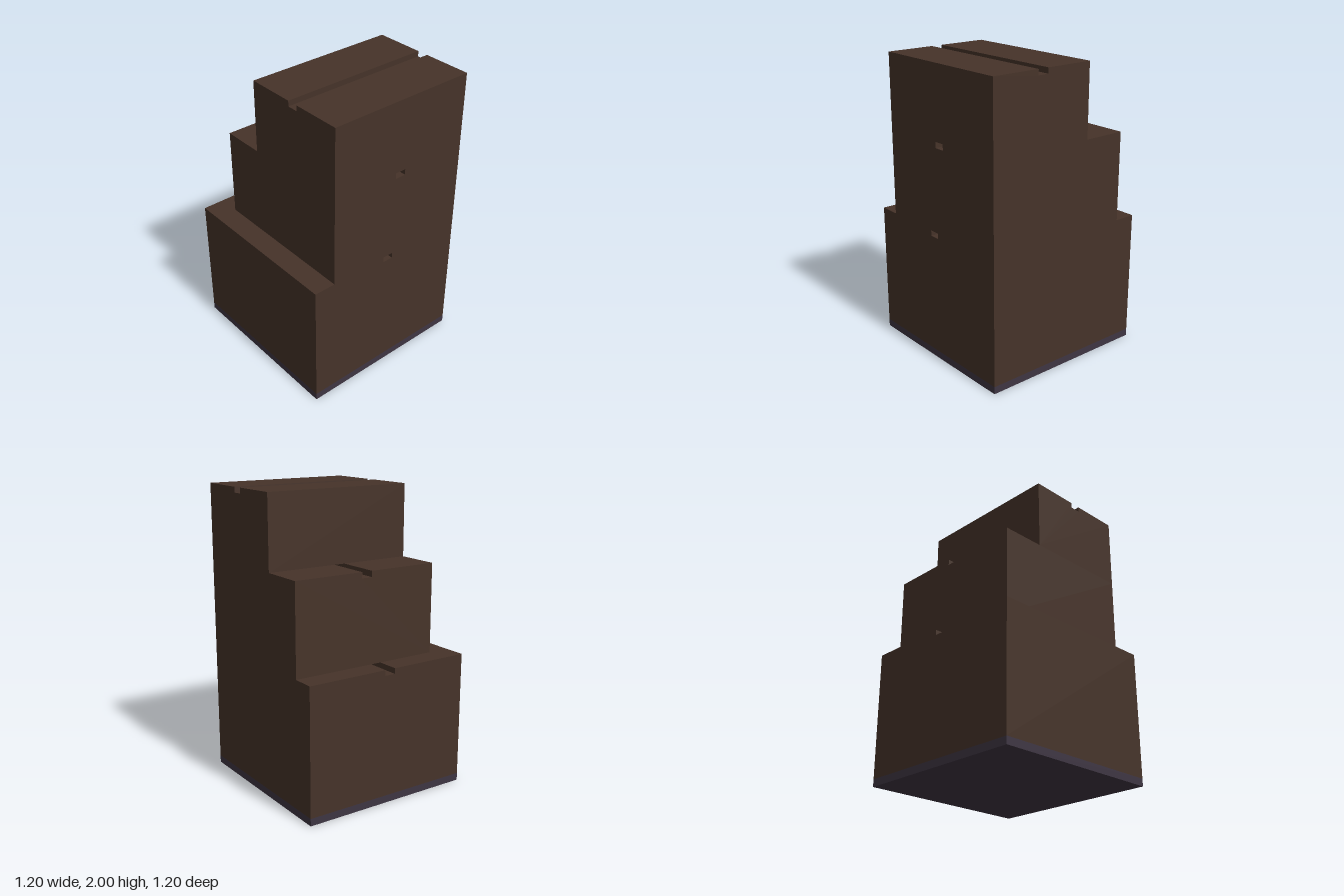
import * as THREE from 'three';

const brown = new THREE.MeshStandardMaterial({ color: 0x463329 });
const violet = new THREE.MeshStandardMaterial({ color: 0x3e3542 });

// Block outline with a rectangular groove cut into its top edge
function groovedProfile(u0, u1, y0, y1, g0, g1, depth) {
  return new THREE.Shape([
    [u0, y0], [u1, y0], [u1, y1], [g1, y1], [g1, y1 - depth],
    [g0, y1 - depth], [g0, y1], [u0, y1],
  ].map(([u, y]) => new THREE.Vector2(u, y)));
}

function extrude(shape, depth) {
  return new THREE.ExtrudeGeometry(shape, { depth, bevelEnabled: false });
}

// Block spanning x0..x1 whose groove runs along x (profile drawn in -z, y)
function blockAlongX(x0, x1, z0, z1, y0, y1, gz0, gz1, depth) {
  const geo = extrude(groovedProfile(-z1, -z0, y0, y1, -gz1, -gz0, depth), x1 - x0);
  return geo.rotateY(Math.PI / 2).translate(x0, 0, 0);
}

export function createModel() {
  const model = new THREE.Group();
  const add = (name, geo, material) => {
    const mesh = new THREE.Mesh(geo, material);
    mesh.name = name;
    model.add(mesh);
  };

  // Thin coloured foot
  add('base', new THREE.BoxGeometry(1.2, 0.05, 1.2).translate(0, 0.025, 0), violet);

  // Lower and middle steps: their grooves become tunnels under the block above
  add('lowerStep', blockAlongX(-0.6, 0.6, -0.6, 0.6, 0.05, 0.905, -0.037, 0.037, 0.037), brown);
  add('middleStep', blockAlongX(-0.45, 0.6, -0.6, 0.45, 0.905, 1.51, -0.113, -0.037, 0.04), brown);

  // Upper step with an open groove from front to back
  const top = extrude(groovedProfile(-0.15, 0.6, 1.51, 2, 0.187, 0.263, 0.037), 1.05);
  add('upperStep', top.translate(0, 0, -0.6), brown);

  return model;
}
